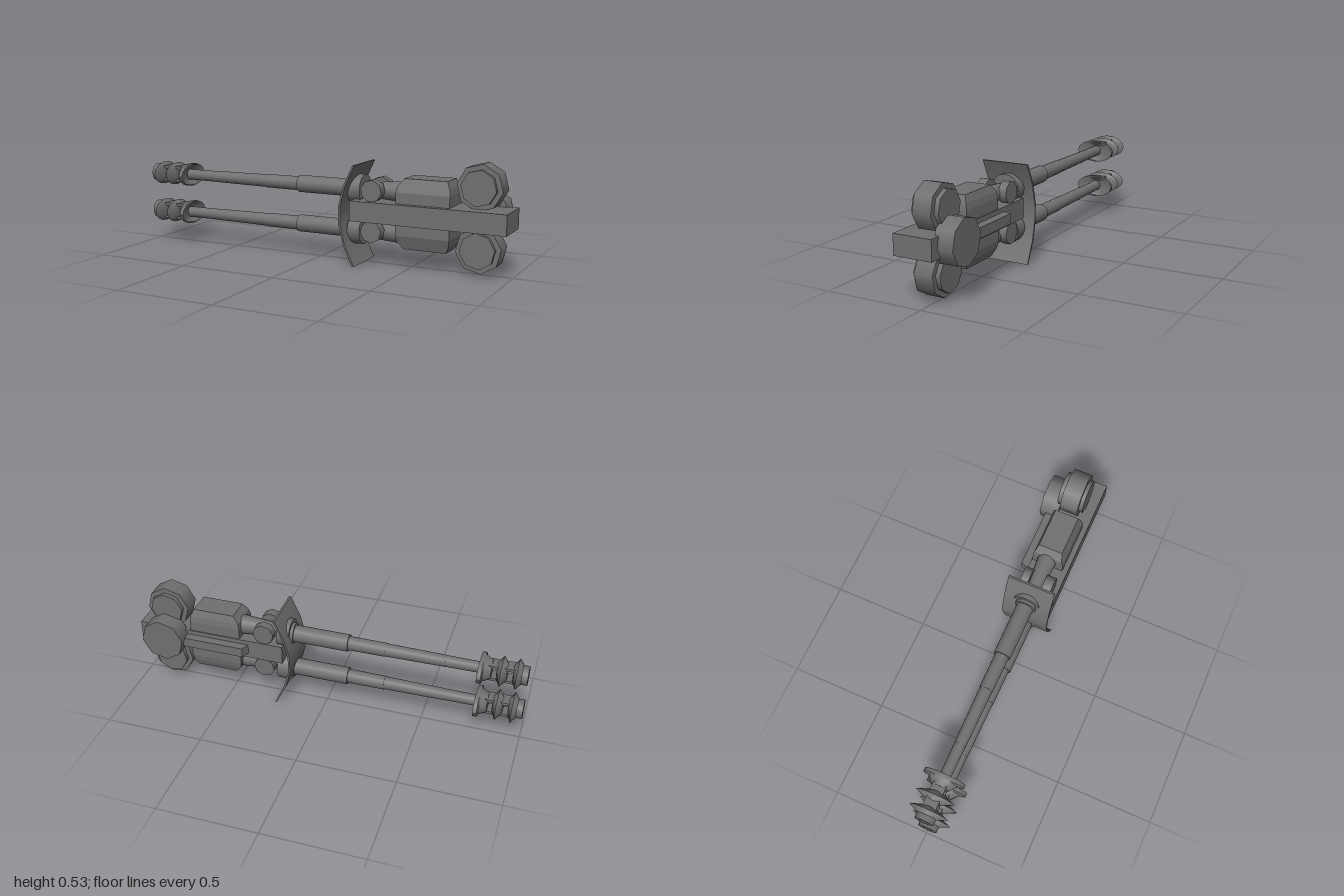
import * as THREE from 'three';
import { toCreasedNormals } from 'three/addons/utils/BufferGeometryUtils.js';

const smooth = new THREE.MeshStandardMaterial({ color: 0x707070 });
const flat = new THREE.MeshStandardMaterial({ color: 0x707070, flatShading: true });
const MID_Y = 0.273, BARREL_Z = 0.017;

function add(parent, name, geometry, material = flat) {
  const mesh = new THREE.Mesh(geometry, material);
  mesh.name = name;
  parent.add(mesh);
}

// Box given by its limits
function box(x0, x1, y0, y1, z0, z1) {
  return new THREE.BoxGeometry(x1 - x0, y1 - y0, z1 - z0)
    .translate((x0 + x1) / 2, (y0 + y1) / 2, (z0 + z1) / 2);
}

// Tapered tube along x
function rod(x0, x1, r0, r1, y) {
  return new THREE.CylinderGeometry(r1, r0, x1 - x0, 16)
    .rotateZ(-Math.PI / 2).translate((x0 + x1) / 2, y, BARREL_Z);
}

// Octagonal disc along z
function drum(x, y, r, z0, z1, turn) {
  return new THREE.CylinderGeometry(r, r, z1 - z0, 8)
    .rotateX(Math.PI / 2).rotateZ(turn).translate(x, y, (z0 + z1) / 2);
}

// Skin over a row of equal-length rings, closed at both ends
function loft(rings, crease) {
  const n = rings[0].length, last = (rings.length - 1) * n, index = [];
  for (let i = 0; i < rings.length - 1; i++) {
    for (let j = 0; j < n; j++) {
      const a = i * n + j, b = i * n + (j + 1) % n;
      index.push(a, b, b + n, a, b + n, a + n);
    }
  }
  for (let j = 1; j < n - 1; j++) {
    index.push(0, j + 1, j, last, last + j, last + j + 1);
  }
  const geo = new THREE.BufferGeometry();
  geo.setAttribute('position', new THREE.Float32BufferAttribute(rings.flat(2), 3));
  geo.setIndex(index);
  return toCreasedNormals(geo, crease);
}

// Oval baffles of the muzzle brake: x, half height, half width
const BAFFLES = [
  [[-0.95, 0.024, 0.024], [-1, 0.026, 0.026], [-1, 0.048, 0.048], [-0.97, 0.046, 0.05],
    [-0.948, 0.06, 0.1], [-0.928, 0.044, 0.04]],
  [[-0.9, 0.042, 0.04], [-0.872, 0.06, 0.1], [-0.85, 0.044, 0.04]],
  [[-0.825, 0.05, 0.045], [-0.79, 0.058, 0.075], [-0.785, 0.06, 0.105], [-0.765, 0.06, 0.105],
    [-0.765, 0.053, 0.096], [-0.785, 0.03, 0.035]],
];

function baffle(profile, y) {
  return loft(profile.map(([x, h, w]) => Array.from({ length: 16 }, (_, j) => {
    const t = j / 16 * Math.PI * 2;
    return [x, y + h * Math.cos(t), BARREL_Z + w * Math.sin(t)];
  })), 0.6);
}

// Receiver housing: chamfered block rising away from the central beam
function housing(side) {
  const levels = [ // distance from beam centre, x0, x1, z0, z1
    [0.03, 0.45, 0.72, -0.06, 0.105], [0.105, 0.45, 0.72, -0.06, 0.105],
    [0.135, 0.455, 0.715, -0.055, 0.095], [0.171, 0.485, 0.7, -0.042, 0.083],
  ];
  const rings = levels.map(([d, x0, x1, z0, z1]) => {
    const y = MID_Y + side * d;
    return [[x0, y, z1], [x1, y, z1], [x1, y, z0], [x0, y, z0]];
  });
  return loft(side > 0 ? rings : rings.reverse(), 0.1);
}

// Bent shield plate, the same section across its width
function shield() {
  const edge = [[0.24, 0.497], [0.19, 0.39], [0.165, 0.29], [0.165, 0.207], [0.19, 0.107], [0.24, 0]];
  const points = [...edge, ...edge.map(([x, y]) => [x + 0.01, y]).reverse()];
  const shape = new THREE.Shape(points.map(([x, y]) => new THREE.Vector2(x, y)));
  const geo = new THREE.ExtrudeGeometry(shape, { depth: 0.246, bevelEnabled: false });
  return toCreasedNormals(geo.translate(0, 0, -0.103), 0.6);
}

export function createModel() {
  const model = new THREE.Group();
  model.name = 'twinGun';

  add(model, 'shield', shield(), smooth);
  add(model, 'centralBeam', box(0.22, 1, 0.223, 0.323, -0.065, 0.132));
  add(model, 'backDrum', drum(0.847, 0.283, 0.113, -0.142, -0.045, -0.14), smooth);

  // Rail on the back of the beam with a sloped nose
  const rail = new THREE.Shape([[0.4, -0.06], [0.42, -0.108], [0.75, -0.108], [0.75, -0.06]]
    .map(([x, z]) => new THREE.Vector2(x, -z)));
  add(model, 'backRail', new THREE.ExtrudeGeometry(rail, { depth: 0.05, bevelEnabled: false })
    .rotateX(-Math.PI / 2).translate(0, 0.25, 0));

  // Upper and lower gun
  for (const side of [1, -1]) {
    const gun = new THREE.Group();
    gun.name = side > 0 ? 'upperGun' : 'lowerGun';
    model.add(gun);
    const y = 0.265 + side * 0.102;

    // Muzzle brake: baffles joined by strips, leaving side vents
    for (const profile of BAFFLES) add(gun, 'muzzleBaffle', baffle(profile, y), smooth);
    for (const h of [-0.035, 0.035]) {
      add(gun, 'muzzleStrip', box(-0.95, -0.8, y + h - 0.007, y + h + 0.007, BARREL_Z - 0.034, BARREL_Z + 0.034));
    }

    add(gun, 'barrelFront', rod(-0.79, -0.6, 0.028, 0.029, y), smooth);
    add(gun, 'barrelMiddle', rod(-0.6, -0.3, 0.03, 0.033, y), smooth);
    add(gun, 'barrelRear', rod(-0.3, -0.1, 0.035, 0.036, y), smooth);
    add(gun, 'barrelSleeve', rod(-0.11, 0.2, 0.044, 0.044, y), smooth);
    add(gun, 'sleeveRing', rod(0.172, 0.192, 0.055, 0.055, y), smooth);
    add(gun, 'barrelCollar', rod(0.188, 0.253, 0.073, 0.073, y), smooth);
    add(gun, 'breechTube', rod(0.25, 0.36, 0.033, 0.043, y), smooth);
    add(gun, 'breechFlare', rod(0.36, 0.46, 0.043, 0.05, y), smooth);

    // Trunnion discs on both faces of the breech
    for (const [z0, z1] of [[-0.058, -0.016], [0.058, 0.107]]) {
      add(gun, 'trunnionDisc', drum(0.322, MID_Y + side * 0.1, 0.055, z0, z1, -side * 0.14), smooth);
    }
    add(gun, 'receiverHousing', housing(side));

    // Ammunition drum with a smaller hub showing on each face
    const drumY = 0.2745 + side * 0.1475;
    add(gun, 'ammoDrum', drum(0.847, drumY, 0.112, -0.035, 0.06, -side * 0.14), smooth);
    add(gun, 'ammoDrumHub', drum(0.847, drumY, 0.087, -0.058, 0.08, -side * 0.14), smooth);
  }
  return model;
}
